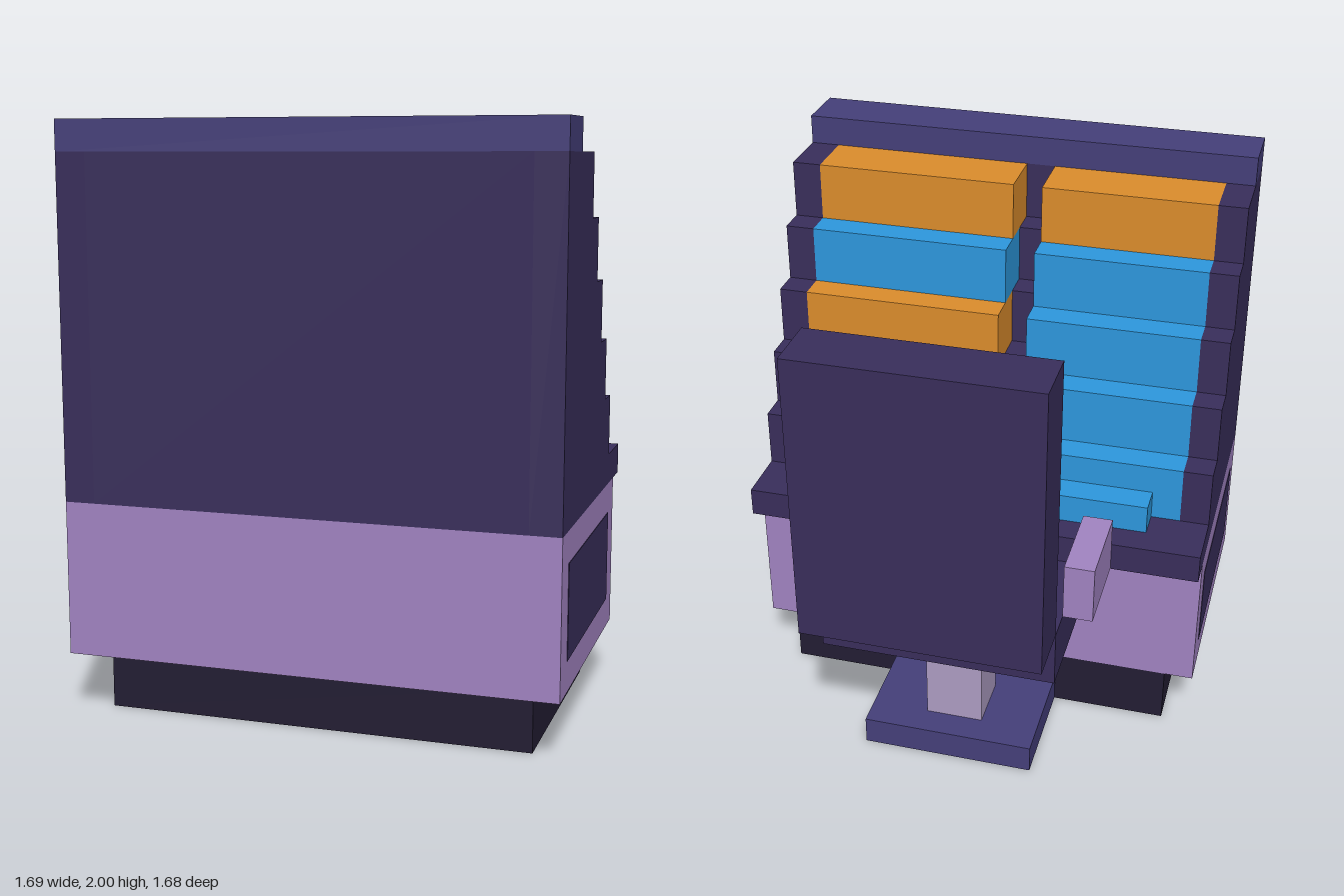
import * as THREE from 'three';

const U = 2 / 19; // one modelling unit: the whole model is 19 units tall

const mat = (color) => new THREE.MeshStandardMaterial({ color, flatShading: true });

export function createModel() {
  const model = new THREE.Group();
  const dark = mat(0x392e5b), indigo = mat(0x453f7a), lilac = mat(0xa284c2), black = mat(0x231d33);
  const blue = mat(0x2d98de), orange = mat(0xdc8d2c), red = mat(0xbb2d4c), grey = mat(0xae9dc3);

  const group = (name) => {
    const g = new THREE.Group();
    g.name = name;
    model.add(g);
    return g;
  };

  const add = (parent, name, geometry, material) => {
    const mesh = new THREE.Mesh(geometry, material);
    mesh.name = name;
    parent.add(mesh);
  };

  // Box given by its extents in units
  const box = (parent, name, material, [x0, x1], [y0, y1], [z0, z1]) => {
    const g = new THREE.BoxGeometry((x1 - x0) * U, (y1 - y0) * U, (z1 - z0) * U);
    g.translate((x0 + x1) / 2 * U, (y0 + y1) / 2 * U, (z0 + z1) / 2 * U);
    add(parent, name, g, material);
  };

  // Stepped side profile (z, y), extruded across x
  const stairs = (parent, name, material, [x0, x1], lipZ, setback) => {
    const pts = [[8, 7], [8, 18], [4 + setback, 18]];
    for (let i = 0; i < 4; i++) {
      const z = 4 - i + setback, y = 16 - 2 * i;
      pts.push([z, y], [z - 1, y]);
    }
    pts.push([setback, 8], [lipZ, 8], [lipZ, 7]);
    const shape = new THREE.Shape(pts.map(([z, y]) => new THREE.Vector2(z * U, y * U)));
    const g = new THREE.ExtrudeGeometry(shape, { depth: (x1 - x0) * U, bevelEnabled: false });
    g.rotateY(-Math.PI / 2).translate(x1 * U, 0, 0);
    add(parent, name, g, material);
  };

  // Cabinet: plinth, lower body, stepped casing and top rail
  const cabinet = group('cabinet');
  box(cabinet, 'plinth', black, [-7, 7], [0, 2], [-1, 7]);
  box(cabinet, 'lowerBody', lilac, [-8, 8], [2, 7], [-1, 8]);
  stairs(cabinet, 'casingCore', dark, [-7, 7], -2, 2);
  stairs(cabinet, 'rightWall', dark, [-8, -7], -2, 0);
  stairs(cabinet, 'leftWall', dark, [7, 8], -2, 0);
  box(cabinet, 'topRail', indigo, [-8, 8], [18, 19], [6, 8]);
  for (const s of [-1, 1]) {
    const x = [7.5 * s, 8.02 * s].sort((a, b) => a - b);
    box(cabinet, 'sidePanel', dark, x, [3, 6], [0, 7]);
  }

  // Two columns of stepped blocks with a slot between, and a front ledge
  const tiers = group('tiers');
  const columns = [
    { name: 'rightTier', x: [-7, -1], colors: [blue, blue, blue, blue, orange] },
    { name: 'leftTier', x: [0, 7], colors: [blue, blue, orange, blue, orange] },
  ];
  for (const { name, x, colors } of columns) {
    colors.forEach((c, i) => box(tiers, name, c, x, [8 + 2 * i, 10 + 2 * i], [i, i + 2]));
  }
  box(tiers, 'frontLedge', blue, [-6, 6], [8, 9], [-1, 1]);

  // Chair
  const chair = group('chair');
  box(chair, 'foot', indigo, [-3, 3], [0, 1], [-5, -1]);
  box(chair, 'post', grey, [-1, 1], [1, 5], [-4, -2]);
  box(chair, 'seat', dark, [-4, 4], [5, 7], [-6, -1]);
  box(chair, 'backrest', dark, [-4, 4], [7, 17], [-8, -6]);
  box(chair, 'backCushion', red, [-3, 3], [9, 16], [-6, -5]);
  box(chair, 'rightArmrest', lilac, [-5, -4], [7, 9], [-5, -2]);
  box(chair, 'leftArmrest', lilac, [4, 5], [7, 9], [-5, -2]);

  return model;
}
